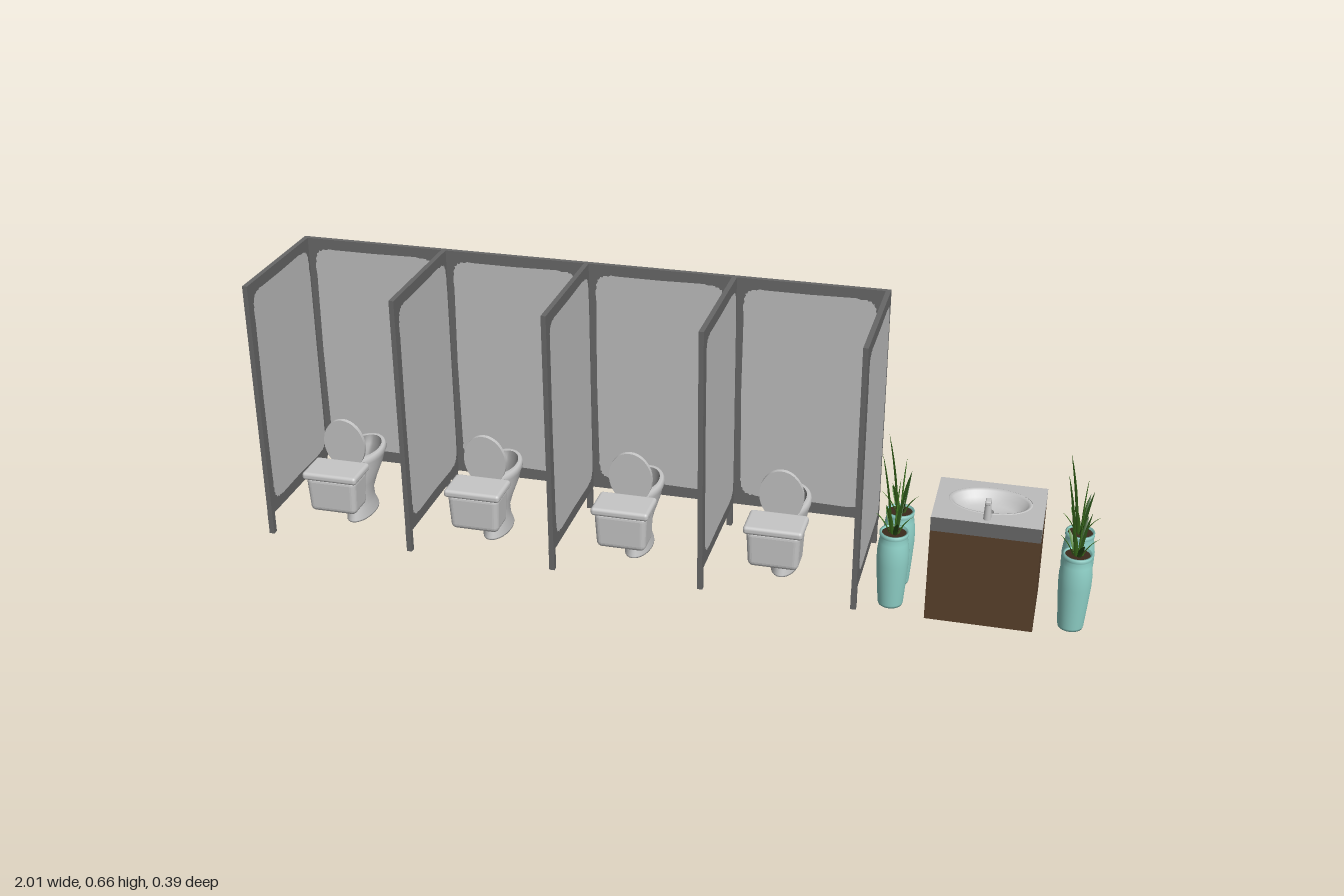
import * as THREE from 'three';
import { RoundedBoxGeometry } from 'three/addons/geometries/RoundedBoxGeometry.js';

const mat = (name, color, side = THREE.FrontSide) => {
  const m = new THREE.MeshStandardMaterial({ color, side });
  m.name = name;
  return m;
};

// Closed elliptical rings joined bottom to top; each ring is [y, rx, centreZ, rz]
function loft(rings, n = 28) {
  const pos = [], idx = [];
  for (const [y, rx, cz, rz] of rings)
    for (let j = 0; j < n; j++) {
      const a = (j / n) * Math.PI * 2;
      pos.push(rx * Math.cos(a), y, cz + rz * Math.sin(a));
    }
  for (let i = 0; i < rings.length - 1; i++)
    for (let j = 0; j < n; j++) {
      const a = i * n + j, b = i * n + (j + 1) % n;
      idx.push(a, a + n, b, b, a + n, b + n);
    }
  const g = new THREE.BufferGeometry();
  g.setAttribute('position', new THREE.Float32BufferAttribute(pos, 3));
  g.setIndex(idx);
  g.computeVertexNormals();
  return g;
}

// Folded, pointed blade that bends from the base towards a tip
function blade(tip, width, turn) {
  const pos = [], idx = [], steps = 7;
  const cx = Math.cos(turn), cz = Math.sin(turn);
  for (let i = 0; i <= steps; i++) {
    const t = i / steps, bend = t * t * 0.6 + t * 0.4;
    const x = tip[0] * bend, z = tip[2] * bend, y = tip[1] * t;
    const w = width * (0.55 + 1.5 * t) * (1 - t) ** 0.8 + 0.0002;
    pos.push(x - cx * w, y, z - cz * w, x - cz * w * 0.4, y, z + cx * w * 0.4, x + cx * w, y, z + cz * w);
    if (i < steps) for (let k = 0; k < 2; k++) {
      const a = i * 3 + k;
      idx.push(a, a + 1, a + 3, a + 1, a + 4, a + 3);
    }
  }
  const g = new THREE.BufferGeometry();
  g.setAttribute('position', new THREE.Float32BufferAttribute(pos, 3));
  g.setIndex(idx);
  g.computeVertexNormals();
  return g;
}

// Worn painted face with rounded corners and slightly wavy edges
function paintedFace(w, h) {
  const s = new THREE.Shape(), n = 72;
  for (let i = 0; i < n; i++) {
    const a = (i / n) * Math.PI * 2, c = Math.cos(a), d = Math.sin(a);
    const wob = 0.0015 * Math.sin(i * 2.3);
    const x = Math.sign(c) * Math.abs(c) ** 0.16 * (w / 2 + wob);
    const y = Math.sign(d) * Math.abs(d) ** 0.12 * (h / 2 + wob);
    if (i) s.lineTo(x, y); else s.moveTo(x, y);
  }
  return new THREE.ShapeGeometry(s);
}

export function createModel() {
  const root = new THREE.Group();
  const panelGrey = mat('panelGrey', 0xbcbcbc);
  const frameGrey = mat('frameGrey', 0x676767);
  const porcelain = mat('porcelain', 0xc6c6c6);
  const bowlGrey = mat('bowlGrey', 0x868686);
  const wood = mat('wood', 0x58402b);
  const teal = mat('teal', 0x8fd1c8);
  const soil = mat('soil', 0x3a2a1c);
  const leafGreen = mat('leafGreen', 0x437a22, THREE.DoubleSide);
  const leafDark = mat('leafDark', 0x2c5419, THREE.DoubleSide);

  const add = (parent, name, geo, material, x = 0, y = 0, z = 0) => {
    const m = new THREE.Mesh(geo, material);
    m.name = name;
    m.position.set(x, y, z);
    parent.add(m);
    return m;
  };
  const box = (p, name, w, h, d, m, x, y, z) => add(p, name, new THREE.BoxGeometry(w, h, d), m, x, y, z);

  // Framed panel in the xy plane, painted on both sides
  const panel = (name, w) => {
    const g = new THREE.Group();
    g.name = name;
    box(g, 'frame', w, 0.608, 0.012, frameGrey, 0, 0, 0);
    const face = paintedFace(w - 0.042, 0.553);
    add(g, 'paintedFront', face, panelGrey, 0, 0.002, 0.0072);
    add(g, 'paintedBack', face, panelGrey, 0, 0.002, -0.0072).rotation.y = Math.PI;
    root.add(g);
    return g;
  };

  // Stall partitions, doors, legs and handles
  const pitch = 0.3655, firstX = -0.992;
  for (let i = 0; i < 5; i++) {
    const x = firstX + i * pitch;
    const wall = panel('partition', 0.35);
    wall.rotation.y = Math.PI / 2;
    wall.position.set(x, 0.357, 0.006);
    for (const z of [0.174, -0.144]) box(root, 'partitionLeg', 0.013, 0.054, 0.014, frameGrey, x, 0.027, z);
    if (i === 4) break;
    const door = panel('door', pitch - 0.003);
    door.position.set(x + pitch / 2, 0.357, -0.163);
    box(root, 'doorLeg', 0.014, 0.054, 0.012, frameGrey, x + pitch - 0.03, 0.027, -0.163);
    box(root, 'handlePlate', 0.02, 0.025, 0.01, frameGrey, x + 0.074, 0.36, -0.174);
    box(root, 'handleStem', 0.01, 0.012, 0.018, frameGrey, x + 0.074, 0.36, -0.186);
    box(root, 'handleLever', 0.065, 0.012, 0.007, frameGrey, x + 0.047, 0.36, -0.193);
  }

  // Toilets
  const pedestal = loft([
    [0, 0, 0.012, 0], [0, 0.033, 0.012, 0.068], [0.004, 0.033, 0.012, 0.068], [0.03, 0.029, 0.016, 0.056],
    [0.06, 0.028, 0.016, 0.05], [0.09, 0.035, 0.008, 0.06], [0.125, 0.046, -0.006, 0.078],
    [0.148, 0.05, -0.014, 0.084], [0.152, 0.053, -0.014, 0.086], [0.163, 0.053, -0.014, 0.086],
    [0.167, 0.049, -0.014, 0.082], [0.166, 0.04, -0.022, 0.066]]);
  const bowl = loft([[0.166, 0.04, -0.022, 0.066], [0.145, 0.035, -0.02, 0.058],
    [0.115, 0.02, -0.012, 0.032], [0.105, 0, -0.01, 0]]);
  const tank = new RoundedBoxGeometry(0.128, 0.095, 0.08, 3, 0.014);
  const tp = tank.attributes.position;
  for (let i = 0; i < tp.count; i++) {
    const k = 1 + (tp.getY(i) - 0.04) * 0.8;
    tp.setX(i, tp.getX(i) * k);
    tp.setZ(i, tp.getZ(i) * k);
  }
  tank.computeVertexNormals();
  const raisedLid = new THREE.CylinderGeometry(0.053, 0.053, 0.01, 32).rotateX(Math.PI / 2).scale(1, 1.28, 1);
  for (let i = 0; i < 4; i++) {
    const t = new THREE.Group();
    t.name = 'toilet';
    t.position.x = -0.819 + i * pitch;
    add(t, 'pedestal', pedestal, porcelain);
    add(t, 'bowl', bowl, bowlGrey);
    add(t, 'tank', tank, porcelain, 0, 0.129, 0.148);
    add(t, 'tankLid', new RoundedBoxGeometry(0.14, 0.02, 0.093, 3, 0.008), porcelain, 0, 0.18, 0.148);
    box(t, 'shelf', 0.075, 0.03, 0.06, porcelain, 0, 0.143, 0.085);
    add(t, 'raisedLid', raisedLid, porcelain, 0, 0.224, 0.084).rotation.x = 0.06;
    add(t, 'hinge', new THREE.CylinderGeometry(0.006, 0.006, 0.085, 12).rotateZ(Math.PI / 2), porcelain, 0, 0.168, 0.077);
    root.add(t);
  }

  // Washstand with a sunken oval basin
  const stand = new THREE.Group();
  stand.name = 'washstand';
  stand.position.set(0.757, 0, 0.079);
  box(stand, 'cabinet', 0.246, 0.232, 0.198, wood, 0, 0.116, 0);
  const top = new THREE.Shape();
  top.moveTo(-0.123, -0.099).lineTo(0.123, -0.099).lineTo(0.123, 0.099).lineTo(-0.123, 0.099);
  const hole = new THREE.Path();
  hole.absellipse(0, 0.008, 0.095, 0.064, 0, Math.PI * 2, true);
  top.holes.push(hole);
  const counter = new THREE.ExtrudeGeometry(top, { depth: 0.034, bevelEnabled: false, curveSegments: 24 });
  add(stand, 'counter', counter.rotateX(-Math.PI / 2), panelGrey, 0, 0.232, 0);
  box(stand, 'counterFront', 0.246, 0.034, 0.002, frameGrey, 0, 0.249, 0.0995);
  add(stand, 'basin', loft([[0.262, 0.097, -0.008, 0.066], [0.267, 0.093, -0.008, 0.062], [0.264, 0.086, -0.008, 0.054],
    [0.25, 0.077, -0.008, 0.046], [0.238, 0.058, -0.008, 0.032], [0.235, 0, -0.008, 0]], 36), porcelain);
  add(stand, 'drain', new THREE.CylinderGeometry(0.009, 0.009, 0.003, 16), bowlGrey, 0, 0.238, -0.008);
  add(stand, 'faucetBody', new THREE.CylinderGeometry(0.007, 0.009, 0.04, 16), porcelain, 0, 0.285, 0.078);
  const spout = new THREE.CatmullRomCurve3([[0.29, 0.076], [0.292, 0.05], [0.287, 0.03], [0.279, 0.023]]
    .map(([y, z]) => new THREE.Vector3(0, y, z)));
  add(stand, 'spout', new THREE.TubeGeometry(spout, 12, 0.005, 10), porcelain);
  add(stand, 'faucetHandle', new RoundedBoxGeometry(0.013, 0.01, 0.022, 2, 0.003), porcelain, 0, 0.309, 0.077);
  root.add(stand);

  // Potted plants
  const vase = new THREE.LatheGeometry([[0, 0], [0.028, 0], [0.0295, 0.006], [0.034, 0.065], [0.037, 0.11], [0.0372, 0.14],
    [0.034, 0.165], [0.031, 0.178], [0.0335, 0.181], [0.0335, 0.19], [0.029, 0.19], [0.028, 0.18]]
    .map(([r, y]) => new THREE.Vector2(r, y)), 28);
  const leaves = [
    [[-0.03, 0.195, -0.014], 0.0085, 1.0], [[0.018, 0.118, 0.006], 0.008, 2.2], [[0.006, 0.14, -0.008], 0.008, 1.7],
    [[-0.014, 0.095, 0.03], 0.007, 0.3], [[0.012, 0.08, -0.044], 0.007, 0.2], [[0.035, 0.065, 0.02], 0.007, 2.0],
    [[-0.034, 0.06, 0.012], 0.007, 1.3], [[0.01, 0.055, 0.04], 0.007, 0.1], [[-0.022, 0.05, -0.034], 0.007, 2.6]];
  for (const x of [0.549, 0.962]) for (const z of [0.025, 0.128]) {
    const plant = new THREE.Group();
    plant.name = 'pottedPlant';
    plant.position.set(x, 0, z);
    add(plant, 'vase', vase, teal);
    add(plant, 'soil', new THREE.CylinderGeometry(0.029, 0.029, 0.004, 24), soil, 0, 0.184, 0);
    leaves.forEach(([tip, w, turn], i) =>
      add(plant, 'leaf', blade(tip, w, turn), i % 3 === 1 ? leafDark : leafGreen, tip[0] * 0.25, 0.181, tip[2] * 0.2));
    root.add(plant);
  }
  return root;
}
